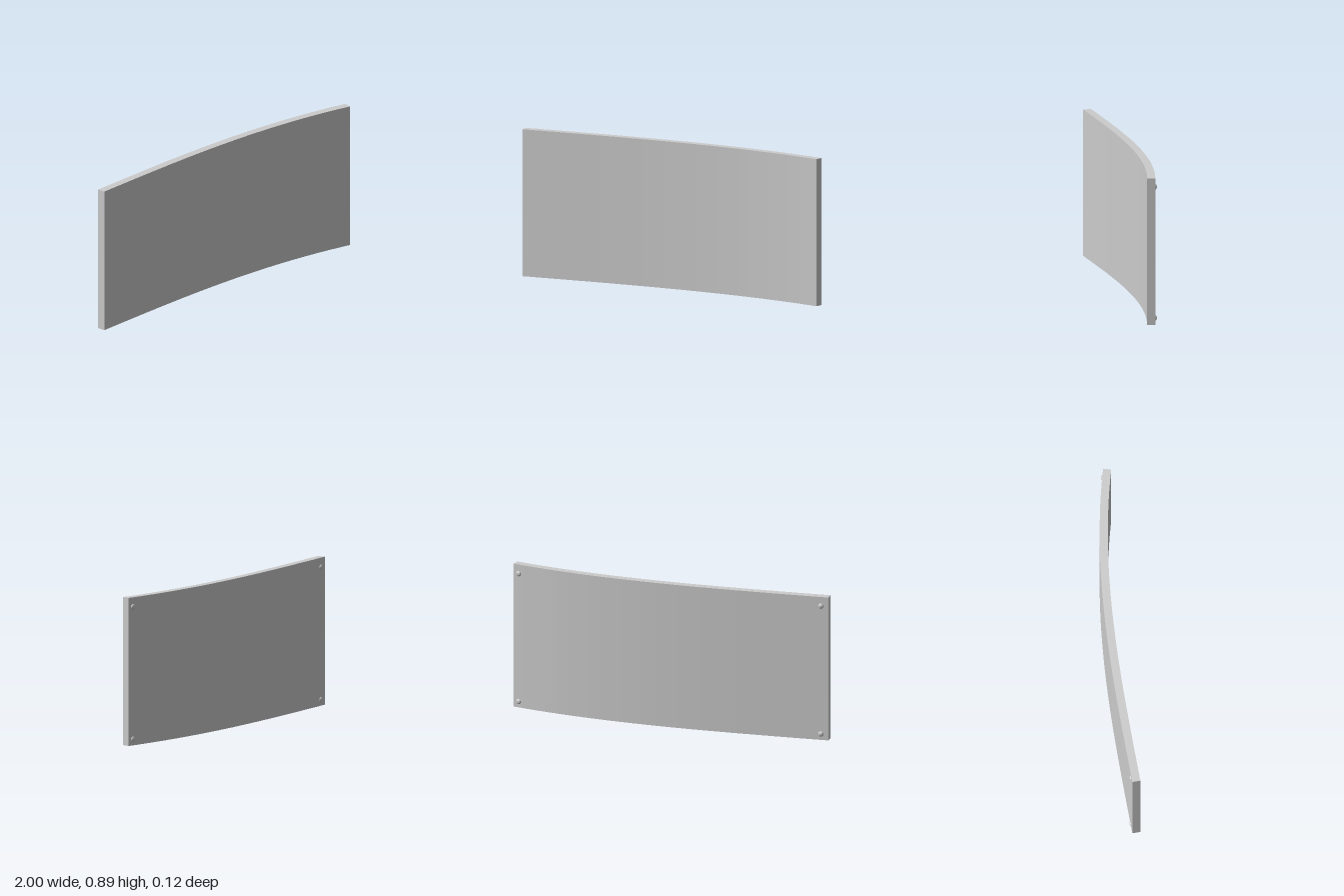
import * as THREE from 'three';

const HEIGHT = 0.895, THICKNESS = 0.049, SEGMENTS = 28;

export function createModel() {
  const group = new THREE.Group();
  const material = new THREE.MeshStandardMaterial({ color: 0xcccccc, flatShading: true });
  const smooth = new THREE.MeshStandardMaterial({ color: 0xcccccc });

  // Plan curve of the rear face: x across, second value is z
  const rear = new THREE.CubicBezierCurve(
    new THREE.Vector2(-1, 0.008), new THREE.Vector2(-0.333, -0.052),
    new THREE.Vector2(0.333, -0.12), new THREE.Vector2(1, 0.012));

  // Front face is the rear curve offset by the thickness, trimmed square at the left
  const back = rear.getPoints(SEGMENTS);
  const front = back.map((p, i) => {
    const t = rear.getTangent(i / SEGMENTS);
    return new THREE.Vector2(Math.max(-1, p.x - t.y * THICKNESS), p.y + t.x * THICKNESS);
  });

  // Curved panel, extruded upward from its plan outline
  const outline = [...back, ...front.reverse()].map(p => new THREE.Vector2(p.x, -p.y));
  const panelGeo = new THREE.ExtrudeGeometry(new THREE.Shape(outline),
    { depth: HEIGHT, bevelEnabled: false });
  panelGeo.rotateX(-Math.PI / 2);
  const panel = new THREE.Mesh(panelGeo, material);
  panel.name = 'curvedPanel';
  group.add(panel);

  // Low domed studs on the rear corners, aligned to the curved face
  const studGeo = new THREE.SphereGeometry(0.0165, 20, 8, 0, Math.PI * 2, 0, Math.PI / 2);
  studGeo.scale(1, 0.55, 1);
  for (const u of [0.0235, 0.9825]) {
    const p = rear.getPoint(u), t = rear.getTangent(u);
    const normal = new THREE.Vector3(t.y, 0, -t.x);
    for (const y of [0.037, HEIGHT - 0.057]) {
      const stud = new THREE.Mesh(studGeo, smooth);
      stud.name = 'cornerStud';
      stud.position.set(p.x, y, p.y);
      stud.quaternion.setFromUnitVectors(new THREE.Vector3(0, 1, 0), normal);
      group.add(stud);
    }
  }
  return group;
}
